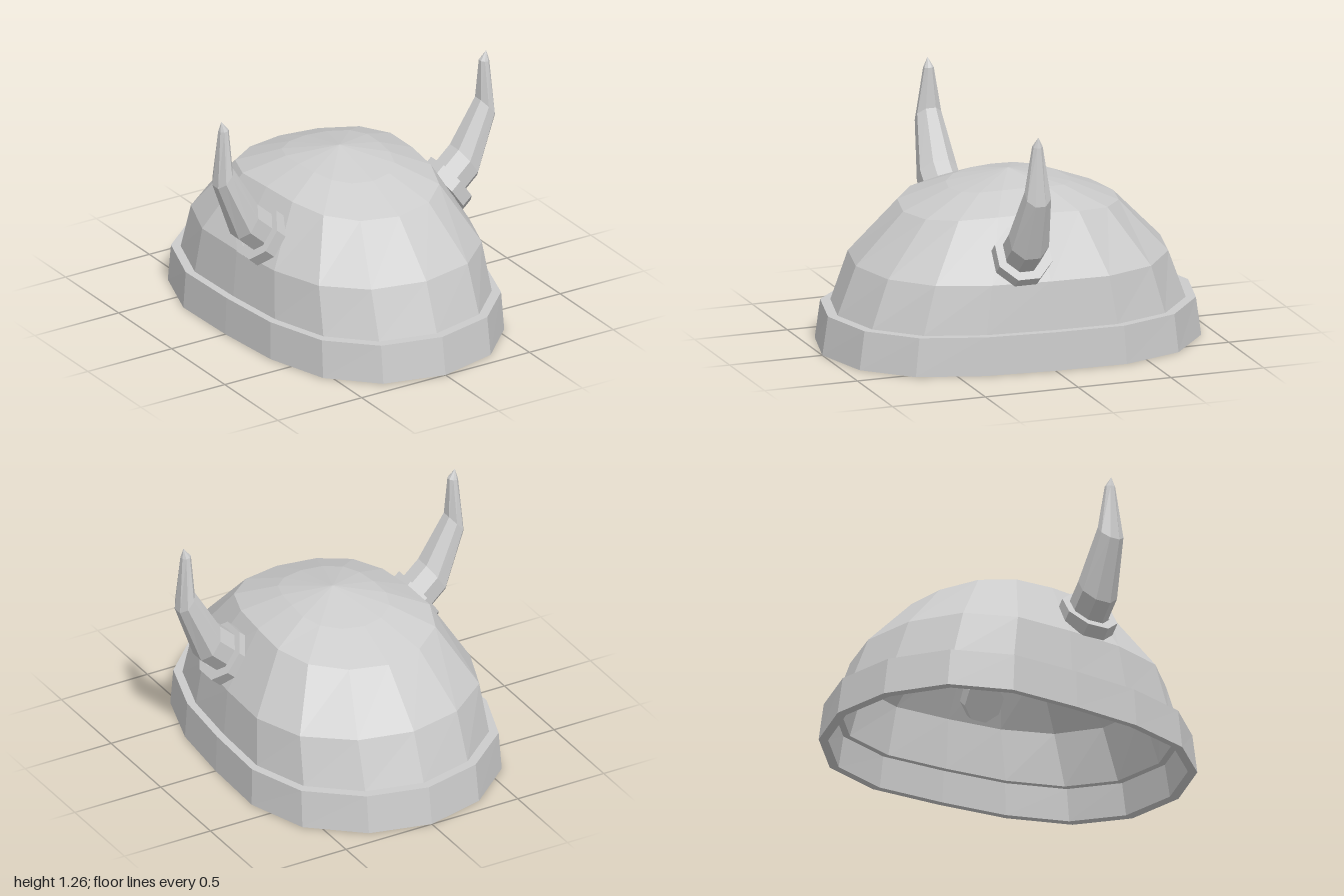
import * as THREE from 'three';

const material = new THREE.MeshStandardMaterial({ color: 0xcccccc, flatShading: true, side: THREE.DoubleSide });

// Skin a list of equal closed rings (arrays of Vector3) with flat facets.
function loft(name, rings) {
  const pos = [];
  const tri = (a, b, c) => {
    if (a.distanceTo(b) < 1e-5 || b.distanceTo(c) < 1e-5 || c.distanceTo(a) < 1e-5) return;
    pos.push(...a, ...b, ...c);
  };
  for (let k = 0; k < rings.length - 1; k++) {
    const a = rings[k], b = rings[k + 1], n = a.length;
    for (let i = 0; i < n; i++) {
      const j = (i + 1) % n;
      tri(a[i], a[j], b[j]);
      tri(a[i], b[j], b[i]);
    }
  }
  const geo = new THREE.BufferGeometry();
  geo.setAttribute('position', new THREE.Float32BufferAttribute(pos, 3));
  geo.computeVertexNormals();
  const mesh = new THREE.Mesh(geo, material);
  mesh.name = name;
  return mesh;
}

// Egg-shaped 16-sided plan, front to back on one side, then mirrored.
const half = [[0, 1], [0.32, 0.92], [0.54, 0.7], [0.645, 0.37], [0.68, 0],
  [0.69, -0.38], [0.58, -0.7], [0.32, -0.92], [0, -1]];
const plan = [...half, ...half.slice(1, -1).reverse().map(([x, z]) => [-x, z])];

// Ring of the plan: x scale, z scale, height at the ends, height at the sides.
const planRing = ([sx, sz, yEnd, ySide = yEnd]) => plan.map(([x, z]) =>
  new THREE.Vector3(x * sx, yEnd + (ySide - yEnd) * (1 - z * z), z * sz));

// Octagon around (x, y) at the horn's z, facing along (dx, dy); r is to the flats.
const HORN_Z = 0.135;
function hornRing(side, [x, y, dx, dy, r]) {
  const d = new THREE.Vector2(dx * side, dy).normalize();
  return Array.from({ length: 8 }, (_, i) => {
    const a = (i + 0.5) * Math.PI / 4, R = r / Math.cos(Math.PI / 8);
    const u = R * Math.cos(a);
    return new THREE.Vector3(x * side - d.y * u, y + d.x * u, HORN_Z + R * Math.sin(a));
  });
}

export function createModel() {
  const model = new THREE.Group();
  model.name = 'hornedHelmet';

  // Dome shell: inner skin from the crown down, then outer skin back up.
  model.add(loft('dome', [
    [0, 0, 0.85], [0.33, 0.3, 0.775, 0.805], [0.61, 0.54, 0.68, 0.725],
    [0.865, 0.785, 0.44], [0.89, 0.885, 0.17],
    [0.93, 0.918, 0.2], [0.9, 0.82, 0.45], [0.64, 0.565, 0.71, 0.76],
    [0.35, 0.32, 0.81, 0.84], [0, 0, 0.885],
  ].map(planRing)));

  // Rim band: inner ledge, inner wall, underside, outer wall, top ledge.
  model.add(loft('rimBand', [
    [0.89, 0.885, 0.17], [0.93, 0.92, 0.17], [0.95, 0.95, 0], [1, 1, 0],
    [0.99, 0.97, 0.2], [0.92, 0.91, 0.2],
  ].map(planRing)));

  for (const side of [1, -1]) {
    const label = side > 0 ? 'left' : 'right';
    // Collar around the horn root.
    model.add(loft(label + 'HornCollar', [
      [0.53, 0.56, 0.82, 0.57, 0.09], [0.53, 0.56, 0.82, 0.57, 0.142],
      [0.58, 0.605, 0.82, 0.57, 0.142], [0.58, 0.605, 0.82, 0.57, 0.1],
    ].map(s => hornRing(side, s))));
    // Curved tapering horn, with its root poking inside the dome.
    model.add(loft(label + 'Horn', [
      [0.46, 0.515, 0.82, 0.57, 0], [0.46, 0.515, 0.82, 0.57, 0.1],
      [0.655, 0.69, 0.83, 0.55, 0.1], [0.783, 0.96, 0.76, 0.65, 0.065],
      [0.777, 1.215, 0.1, 1, 0.025], [0.79, 1.265, 0, 1, 0],
    ].map(s => hornRing(side, s))));
  }
  return model;
}
